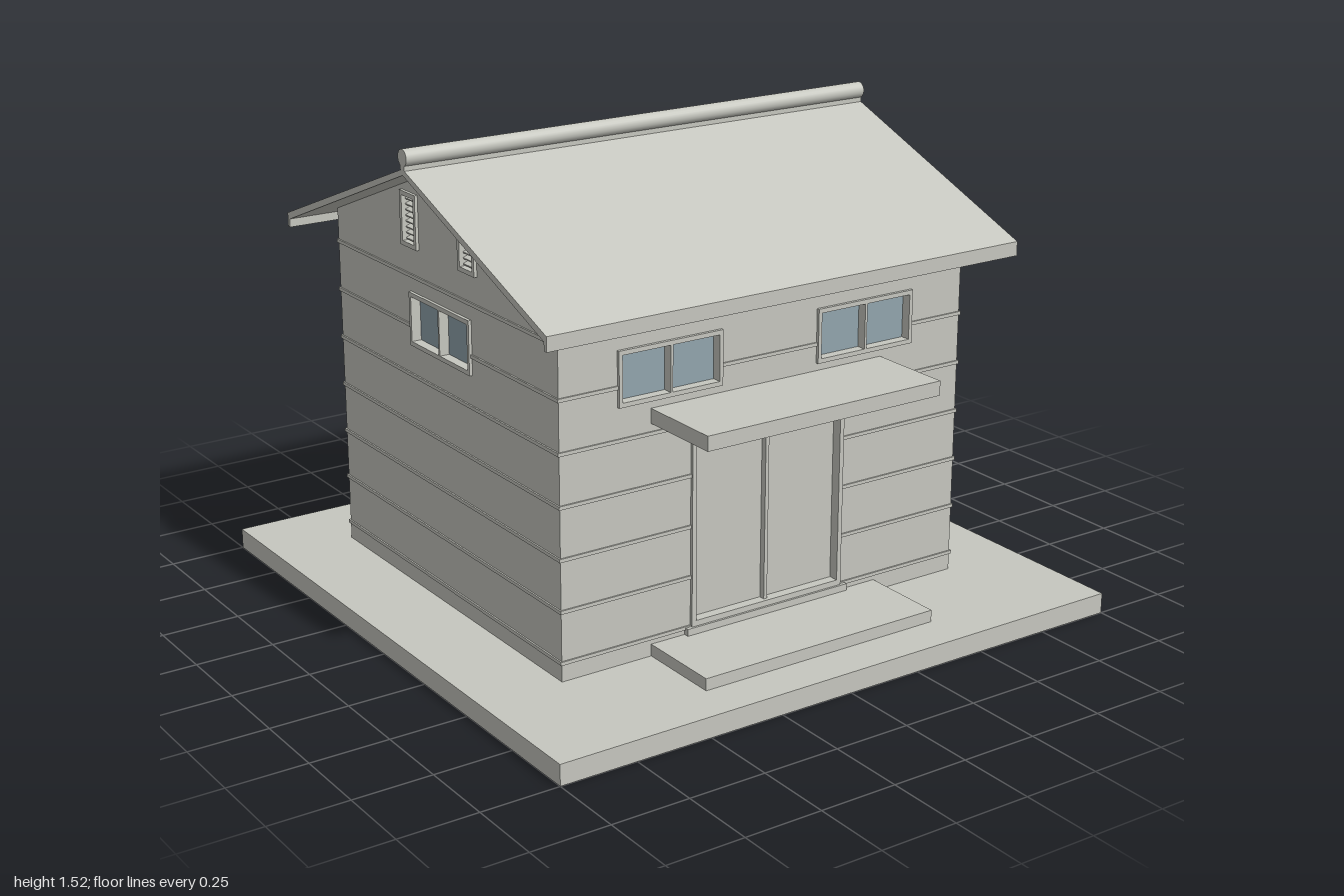
import * as THREE from 'three';

const plaster = new THREE.MeshStandardMaterial({ color: 0xc6c7bf });
plaster.name = 'pale grey';
const glass = new THREE.MeshStandardMaterial({ color: 0x92a5ae });
glass.name = 'blue grey glass';

const EAVE = 1.195, APEX = 1.447, BASE = 0.066;
const HALF_W = 0.73, HALF_D = 0.655;

function add(parent, name, geometry, material = plaster) {
  const mesh = new THREE.Mesh(geometry, material);
  mesh.name = name;
  parent.add(mesh);
  return mesh;
}

function box(parent, name, w, h, d, x, y, z, material) {
  const mesh = add(parent, name, new THREE.BoxGeometry(w, h, d), material);
  mesh.position.set(x, y, z);
  return mesh;
}

// Flat panel with rectangular holes {x, y, w, h}, running from z0 to z1
function panel(parent, name, points, holes, z0, z1) {
  const shape = new THREE.Shape(points.map(p => new THREE.Vector2(...p)));
  for (const o of holes) {
    shape.holes.push(new THREE.Path(rect(o).reverse().map(p => new THREE.Vector2(...p))));
  }
  const geo = new THREE.ExtrudeGeometry(shape, { depth: z1 - z0, bevelEnabled: false });
  return add(parent, name, geo.translate(0, 0, z0));
}

function rect({ x, y, w, h }) {
  return [[x - w / 2, y - h / 2], [x + w / 2, y - h / 2], [x + w / 2, y + h / 2], [x - w / 2, y + h / 2]];
}

const windowAt = x => ({ kind: 'window', x, y: 0.95, w: 0.36, h: 0.17 });
const ventAt = x => ({ kind: 'vent', x, y: 1.26, w: 0.096, h: 0.17 });

// Two sliding panes set back in a frame
function addWindow(wall, o) {
  const panes = [-1, 1].map(s => ({ x: o.x + s * 0.086, y: o.y, w: 0.164, h: 0.142 }));
  panel(wall, 'windowFrame', rect(o), panes, -0.045, 0.01);
  for (const p of panes) box(wall, 'windowPane', p.w, p.h, 0.006, p.x, p.y, -0.025, glass);
}

// Louvred gable vent
function addVent(wall, o) {
  const hole = { x: o.x, y: o.y, w: 0.07, h: 0.142 };
  panel(wall, 'ventFrame', rect(o), [hole], -0.045, 0.01);
  box(wall, 'ventBack', hole.w, hole.h, 0.006, o.x, o.y, -0.03, glass);
  for (let i = 0; i < 8; i++) {
    const slat = box(wall, 'ventSlat', hole.w, 0.005, 0.022, o.x, o.y - 0.062 + i * 0.0177, -0.014);
    slat.rotation.x = 0.35;
  }
}

// Double door set back in its frame
function addDoor(wall, o) {
  const hole = { x: 0, y: 0.442, w: 0.53, h: 0.596 };
  panel(wall, 'doorFrame', rect(o), [hole], -0.045, 0.01);
  for (const s of [-1, 1]) box(wall, 'doorLeaf', 0.26, hole.h, 0.015, s * 0.134, hole.y, -0.03);
  box(wall, 'doorMeetingStile', 0.012, hole.h, 0.035, 0, hole.y, -0.02);
  box(wall, 'doorThreshold', 0.6, 0.022, 0.05, 0, 0.115, -0.008);
}

// Thin siding line, broken around openings
function addSiding(wall, y, half, openings) {
  let start = -half;
  const cuts = openings
    .filter(o => Math.abs(y - o.y) < o.h / 2 + 0.008)
    .sort((a, b) => a.x - b.x);
  const strip = (a, b) => box(wall, 'sidingLine', b - a, 0.011, 0.008, (a + b) / 2, y, 0.001);
  for (const o of cuts) {
    strip(start, o.x - o.w / 2);
    start = o.x + o.w / 2;
  }
  strip(start, half);
}

function makeWall(name, half, gable, openings) {
  const wall = new THREE.Group();
  wall.name = name;
  const outline = [[-half, BASE], [half, BASE], [half, EAVE]];
  if (gable) outline.push([0, APEX]);
  outline.push([-half, EAVE]);
  panel(wall, name + 'Panel', outline, openings, -0.05, 0);
  for (let i = 0; i < 7; i++) addSiding(wall, 0.125 + i * 0.16, half + 0.004, openings);
  const builders = { window: addWindow, vent: addVent, door: addDoor };
  for (const o of openings) builders[o.kind](wall, o);
  return wall;
}

export function createModel() {
  const model = new THREE.Group();
  model.name = 'smallBuilding';
  box(model, 'groundSlab', 2, BASE, 2, 0, BASE / 2, 0);

  const house = new THREE.Group();
  house.name = 'house';
  house.position.z = -0.075;
  model.add(house);

  // Walls
  const windows = [windowAt(-0.354), windowAt(0.354)];
  const door = { kind: 'door', x: 0, y: 0.437, w: 0.56, h: 0.626 };
  const front = makeWall('frontWall', HALF_W, false, [...windows, door]);
  front.position.z = HALF_D;
  const back = makeWall('backWall', HALF_W, false, windows);
  back.position.z = -HALF_D;
  back.rotation.y = Math.PI;
  house.add(front, back);
  for (const s of [-1, 1]) {
    const side = makeWall(s > 0 ? 'leftWall' : 'rightWall', HALF_D, true,
      [windowAt(0), ventAt(-0.172), ventAt(0.172)]);
    side.position.x = s * HALF_W;
    side.rotation.y = s * Math.PI / 2;
    house.add(side);
  }

  // Entrance step and canopy
  box(house, 'entranceStep', 0.84, 0.038, 0.28, 0, 0.085, 0.795);
  box(house, 'entranceCanopy', 0.84, 0.046, 0.29, 0, 0.818, 0.79);

  // Gabled roof with drop lips at the eaves
  const half = [[0.768, 1.147], [0.768, 1.12], [0.782, 1.12], [0.782, 1.165]];
  const profile = [[0, APEX], ...half, [0, 1.466],
    ...half.slice().reverse().map(([z, y]) => [-z, y])];
  const roof = panel(house, 'roof', profile, [], -0.843, 0.843);
  roof.rotation.y = Math.PI / 2;

  // Ridge roll on a narrow neck
  box(house, 'ridgeNeck', 1.686, 0.04, 0.024, 0, 1.467, 0);
  const ridge = add(house, 'ridgeRoll', new THREE.CylinderGeometry(0.026, 0.026, 1.686, 24));
  ridge.rotation.z = Math.PI / 2;
  ridge.position.y = 1.499;

  return model;
}
